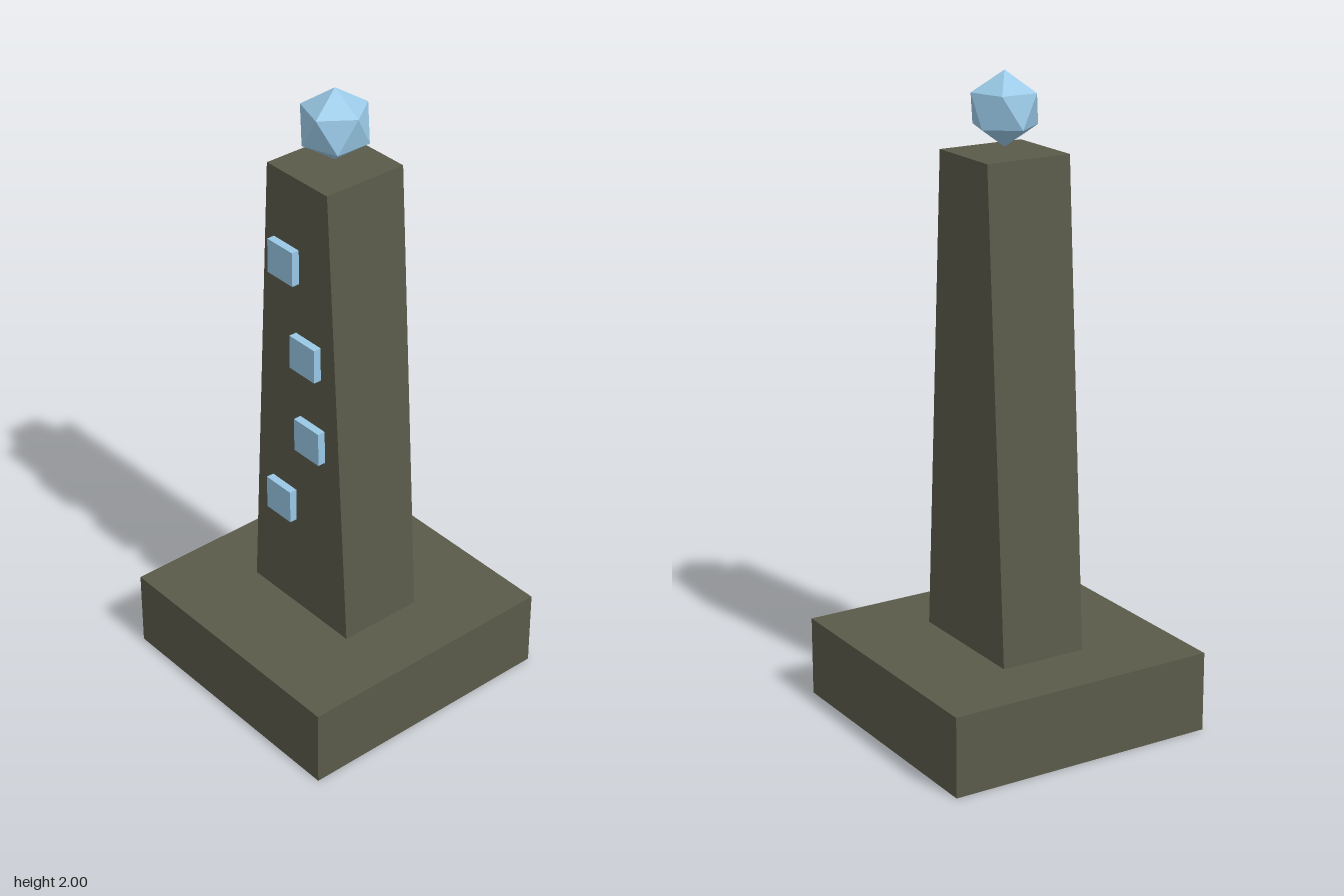
import * as THREE from 'three';

export function createModel() {
  const model = new THREE.Group();
  model.name = 'obelisk';

  const stone = new THREE.MeshStandardMaterial({ color: 0x5a5a4a });
  stone.name = 'dark stone';
  const crystal = new THREE.MeshStandardMaterial({ color: 0x99c8e6 });
  crystal.name = 'pale blue crystal';

  const add = (name, geometry, material, x, y, z) => {
    const mesh = new THREE.Mesh(geometry, material);
    mesh.name = name;
    mesh.position.set(x, y, z);
    model.add(mesh);
    return mesh;
  };

  // Square plinth
  add('base', new THREE.BoxGeometry(0.876, 0.252, 0.876), stone, 0, 0.126, 0);

  // Shaft: narrows towards the top in width only, front and back stay parallel
  const outline = new THREE.Shape([
    new THREE.Vector2(-0.219, 0.252),
    new THREE.Vector2(0.219, 0.252),
    new THREE.Vector2(0.131, 1.762),
    new THREE.Vector2(-0.131, 1.762),
  ]);
  add('shaft', new THREE.ExtrudeGeometry(outline, { depth: 0.28, bevelEnabled: false }), stone, 0, 0, -0.14);

  // Glowing blocks set into the front face
  const block = new THREE.BoxGeometry(0.111, 0.111, 0.028);
  [[-0.071, 0.632], [0.063, 0.915], [0.046, 1.198], [-0.049, 1.48]].forEach(([x, y], i) => {
    add(`runeBlock${i + 1}`, block, crystal, x, y, 0.151);
  });

  // Floating icosahedron, turned to stand on a point
  const gem = new THREE.IcosahedronGeometry(0.112, 0);
  gem.rotateZ(-Math.atan(2 / (1 + Math.sqrt(5))));
  add('gem', gem, crystal, 0, 1.888, 0);

  return model;
}
